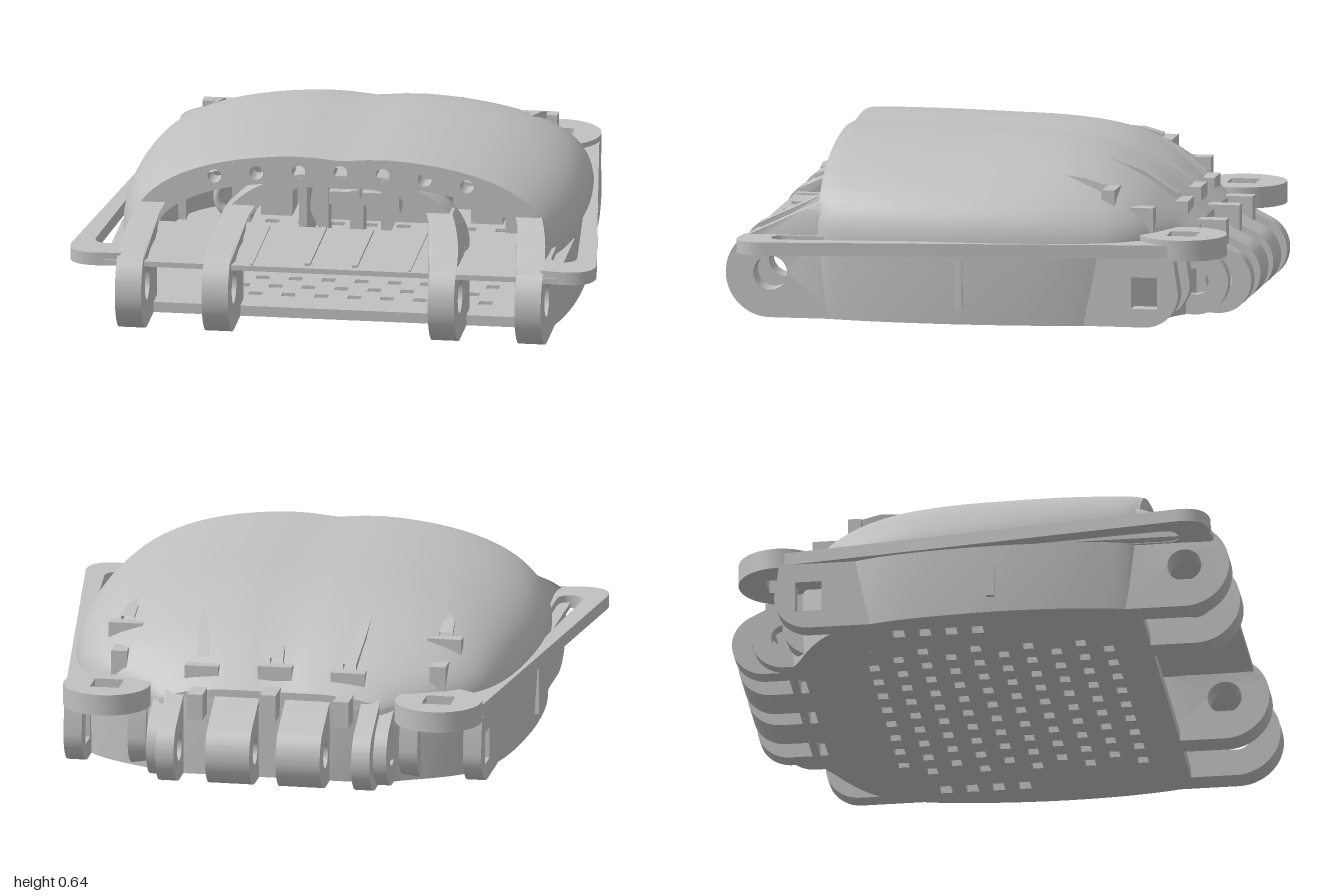
import * as THREE from 'three';
import { toCreasedNormals } from 'three/addons/utils/BufferGeometryUtils.js';

const plastic = new THREE.MeshStandardMaterial({ color: 0xc0c0c0, side: THREE.DoubleSide });
plastic.name = 'light grey plastic';

// Shell stations from front to back: z, half width, arch height above BASE
const BASE = 0.27, POWER = 2.5;
const stations = [
  [0.62, 0.805, 0.372], [0.58, 0.825, 0.373], [0.45, 0.85, 0.372], [0.3, 0.865, 0.37],
  [0.1, 0.87, 0.365], [-0.1, 0.86, 0.36], [-0.28, 0.84, 0.342], [-0.4, 0.815, 0.312],
  [-0.5, 0.78, 0.268], [-0.58, 0.72, 0.22], [-0.65, 0.62, 0.165], [-0.71, 0.5, 0.115],
  [-0.76, 0.42, 0.07],
];

// Half superellipse with a shallow crease along the middle, from -x to +x
function arch(w, h, base = BASE, n = 40, power = POWER) {
  return Array.from({ length: n + 1 }, (_, i) => {
    const a = Math.PI * (1 - i / n), c = Math.cos(a), s = Math.abs(Math.sin(a));
    const x = w * Math.sign(c) * Math.abs(c) ** (2 / power);
    return [x, base + h * s ** (2 / power) - 0.015 * Math.exp(-((x / 0.1) ** 2)) * s];
  });
}

function domeY(x, z) {
  let i = 0;
  while (i < stations.length - 2 && stations[i + 1][0] > z) i++;
  const [a, b] = [stations[i], stations[i + 1]];
  const t = THREE.MathUtils.clamp((z - a[0]) / (b[0] - a[0]), 0, 1);
  const w = a[1] + (b[1] - a[1]) * t, h = a[2] + (b[2] - a[2]) * t;
  return BASE + h * Math.max(0, 1 - Math.abs(x / w) ** POWER) ** (1 / POWER);
}

// Skin over equal-length closed loops of [x, y, z]
function loft(loops) {
  const n = loops[0].length, index = [];
  for (let j = 0; j < loops.length - 1; j++)
    for (let i = 0; i < n; i++) {
      const a = j * n + i, b = j * n + (i + 1) % n;
      index.push(a, b, a + n, b, b + n, a + n);
    }
  const g = new THREE.BufferGeometry();
  g.setAttribute('position', new THREE.Float32BufferAttribute(loops.flat(2), 3));
  g.setIndex(index);
  return toCreasedNormals(g.toNonIndexed(), 0.7);
}

const toShape = (pts) => new THREE.Shape(pts.map((p) => new THREE.Vector2(p[0], p[1])));
const extrude = (shape, depth) =>
  new THREE.ExtrudeGeometry(shape, { depth, bevelEnabled: false, curveSegments: 20 });
const circle = (x, y, r) => new THREE.Path().absarc(x, y, r, 0, Math.PI * 2, true);
const rect = (x, y, w, h) => new THREE.Path([[-1, -1], [-1, 1], [1, 1], [1, -1]].map(
  ([i, j]) => new THREE.Vector2(x + i * w / 2, y + j * h / 2)));

// Horizontal slab; its shape is drawn in x and -z
function slab(shape, y0, y1) {
  return toCreasedNormals(extrude(shape, y1 - y0).rotateX(-Math.PI / 2).translate(0, y0, 0), 0.6);
}

// Upright plate; its shape is drawn in z and y. The bend curls its top inwards
function plate(shape, xc, width, bend = 0) {
  const g = extrude(shape, width).rotateY(-Math.PI / 2).translate(xc + width / 2, 0, 0);
  const p = g.attributes.position;
  for (let i = 0; i < p.count; i++)
    p.setX(i, p.getX(i) - Math.sign(xc) * bend * Math.max(0, p.getY(i) - 0.3) ** 2);
  g.computeVertexNormals();
  return toCreasedNormals(g, 0.6);
}

export function createModel() {
  const model = new THREE.Group();
  const add = (name, geo, x = 0, y = 0, z = 0) => {
    const m = new THREE.Mesh(geo, plastic);
    m.name = name;
    m.position.set(x, y, z);
    model.add(m);
    return m;
  };
  const box = (name, w, h, d, x, y, z) => add(name, new THREE.BoxGeometry(w, h, d), x, y, z);

  // Hollow domed shell with side walls, closed at the back
  const curve = new THREE.CatmullRomCurve3(stations.map((s) => new THREE.Vector3(...s)));
  const rows = curve.getPoints(48).map((p) => [p.x, p.y, p.z]);
  const section = ([z, w, h], squash = 1) => {
    const side = (ww, hh, zz) => [[-ww * 0.98, 0], ...arch(ww, hh), [ww * 0.98, 0]]
      .map(([x, y]) => [x * squash, y, zz]);
    const innerZ = z < 0 ? z + 0.03 : z;
    return [...side(w, h, z), ...side(w - 0.035, Math.max(0.03, h - 0.032), innerZ).reverse()];
  };
  add('domedShell', loft([...rows.map((r) => section(r)), section(rows[48], 0.001)]));

  // Front rim arch with a row of cord holes
  const rim = toShape([...arch(0.803, 0.37), ...arch(0.71, 0.265).reverse()]);
  for (let i = -3; i <= 3; i++) rim.holes.push(circle(i * 0.16, 0.58 - 0.0038 * i * i, 0.026));
  add('frontRim', toCreasedNormals(extrude(rim, 0.09), 0.6), 0, 0, 0.533);

  // Inner arch that joins the two middle arms
  const inner = toShape([...arch(0.475, 0.3, 0.28, 40, 2.1), ...arch(0.38, 0.25, 0.28, 40, 2.1).reverse()]);
  add('innerArch', toCreasedNormals(extrude(inner, 0.12), 0.6), 0, 0, 0.5);

  // Perforated floor
  const outline = [[0.8, 0.63], [0.84, 0.3], [0.85, 0.1], [0.82, -0.28], [0.77, -0.5], [0.45, -0.7]];
  const floor = toShape([...outline.map(([x, z]) => [x, -z]),
    ...outline.map(([x, z]) => [-x, -z]).reverse()]);
  for (let r = 0; r < 10; r++)
    for (let c = -4; c <= 4; c++)
      floor.holes.push(rect((c + (r % 2) / 2 - 0.25) * 0.125, 0.43 - r * 0.1, 0.05, 0.04));
  for (const s of [1, -1])
    for (let i = 0; i < 4; i++) floor.holes.push(rect(s * 0.7, 0.3 - i * 0.1, 0.06, 0.045));
  add('perforatedFloor', slab(floor, 0, 0.04));

  // Thin front shelf with a raised middle track
  box('frontShelf', 1.72, 0.02, 0.51, 0, 0.278, 0.655);
  for (const x of [-0.09, 0.09]) box('trackRail', 0.02, 0.012, 0.46, x, 0.292, 0.65);
  for (const x of [-0.3, 0.3]) box('shelfRib', 0.01, 0.008, 0.48, x, 0.29, 0.66);

  // Inner tensioner housing and catch
  for (const x of [-0.25, 0.25]) box('housingWall', 0.03, 0.4, 0.4, x, 0.24, -0.35);
  box('housingBack', 0.5, 0.42, 0.04, 0, 0.24, -0.5);
  const ring = toShape(arch(0.17, 0.2, 0.3, 16).concat([[0.11, 0.17], [-0.11, 0.17]]));
  ring.holes.push(rect(0, 0.32, 0.2, 0.22));
  add('catchFrame', extrude(ring, 0.08), 0, 0, 0.15);
  box('catchBar', 0.2, 0.05, 0.1, 0, 0.35, 0.17);
  box('catchStem', 0.05, 0.3, 0.08, 0, 0.31, 0.14);
  add('catchPin', new THREE.CylinderGeometry(0.025, 0.025, 0.12, 16).rotateX(Math.PI / 2), 0, 0.37, 0.2);

  for (const s of [1, -1]) {
    // Wrist arms ending in pierced round lugs
    for (const [x, bend] of [[0.76, 2.4], [0.43, 3]]) {
      const arm = new THREE.Shape().moveTo(0.54, 0).lineTo(0.8, 0);
      arm.absarc(0.8, 0.17, 0.17, -Math.PI / 2, 0.87, false);
      for (let i = 1; i <= 6; i++) arm.lineTo(0.91 - i * 0.0483, 0.3 + i * 0.0225);
      for (let i = 0; i <= 6; i++) arm.lineTo(0.54, 0.435 - i * 0.0225);
      arm.lineTo(0.54, 0);
      arm.holes.push(circle(0.8, 0.17, 0.065));
      add('wristArm', plate(arm, s * x, 0.1, bend));
    }

    // Side frame with a long tapered slot
    const frame = new THREE.Shape().moveTo(s * 0.7, 0.72).lineTo(s * 0.797, 0.72);
    frame.lineTo(s * 0.998, -0.79).quadraticCurveTo(s * 1.012, -0.91, s * 0.89, -0.91);
    frame.lineTo(s * 0.8, -0.9).lineTo(s * 0.78, 0).lineTo(s * 0.7, 0.72);
    const slot = new THREE.Path().moveTo(s * 0.815, 0.3).lineTo(s * 0.915, -0.72);
    slot.quadraticCurveTo(s * 0.92, -0.785, s * 0.865, -0.785);
    slot.quadraticCurveTo(s * 0.815, -0.785, s * 0.818, -0.72).lineTo(s * 0.815, 0.3);
    frame.holes.push(slot);
    add('sideFrame', slab(frame, 0.265, 0.315));

    // Round thumb mount with a square socket
    const disc = new THREE.Shape().absarc(s * 0.635, 0.75, 0.165, 0, Math.PI * 2, false);
    disc.holes.push(rect(s * 0.635, 0.75, 0.11, 0.11));
    add('thumbMount', slab(disc, 0.255, 0.335));

    // Thumb hinge lugs: square socket outside, round hole inside
    for (const [x, square] of [[0.765, true], [0.52, false]]) {
      const lug = new THREE.Shape().moveTo(-0.4, 0.27).lineTo(-0.4, 0).lineTo(-0.63, 0);
      lug.absarc(-0.63, 0.13, 0.13, -Math.PI / 2, -Math.PI, true);
      lug.lineTo(-0.74, 0.27).lineTo(-0.4, 0.27);
      lug.holes.push(square ? rect(-0.63, 0.13, 0.1, 0.12) : circle(-0.63, 0.13, 0.055));
      add('thumbLug', plate(lug, s * x, 0.07));
    }
    const boss = add('pinBoss', new THREE.TorusGeometry(0.055, 0.02, 10, 24), s * 0.57, 0.13, -0.42);
    boss.scale.x = 0.8;

    // Finger knuckles
    for (const [x, width, z] of [[0.135, 0.17, -0.845], [0.375, 0.07, -0.845], [0.435, 0.05, -0.765]]) {
      const k = new THREE.Shape().moveTo(-0.5, 0.3).lineTo(-0.5, 0).lineTo(z, 0);
      k.absarc(z, 0.125, 0.125, -Math.PI / 2, -Math.PI * 1.35, true);
      k.lineTo(z + 0.07, 0.3).lineTo(z + 0.17, 0.355).lineTo(-0.5, 0.4).lineTo(-0.5, 0.3);
      k.holes.push(circle(z, 0.125, 0.05));
      add('fingerKnuckle', plate(k, s * x, width));
    }
    box('knuckleBridge', 0.14, 0.22, 0.12, s * 0.28, 0.16, -0.7);

    // Small upright fin on the side wall
    box('sideFin', 0.03, 0.2, 0.03, s * 0.857, 0.16, 0.07);
  }
  box('middleBridge', 0.12, 0.22, 0.1, 0, 0.16, -0.72);

  // Cord guides: stem, clip and pointed tail lying on the shell
  const guides = [[0, -0.79, -0.55, 0], [0.28, -0.79, -0.42, 0.04], [0.61, -0.57, -0.3, -0.01]];
  for (const [gx, z0, z1, drift] of guides)
    for (const s of gx ? [1, -1] : [1]) {
      const x = s * gx, clipZ = z0 + 0.1;
      box('guideStem', 0.06, 0.1, 0.13, x, domeY(x, z0) - 0.04, z0);
      box('guideClip', 0.13, 0.08, 0.05, x, domeY(x, clipZ) - 0.02, clipZ);
      const tipX = x + s * drift, back = clipZ + 0.02;
      const row = (xx, z, w, h) => {
        const y = domeY(xx, z);
        return [[xx - w, y - 0.04, z], [xx - w, y + h, z], [xx + w, y + h, z], [xx + w, y - 0.04, z]];
      };
      add('guideTail', loft([row(x, back, 0.025, 0.025),
        row((x + tipX) / 2, (back + z1) / 2, 0.022, 0.018), row(tipX, z1, 0.002, 0.003)]));
    }
  return model;
}
